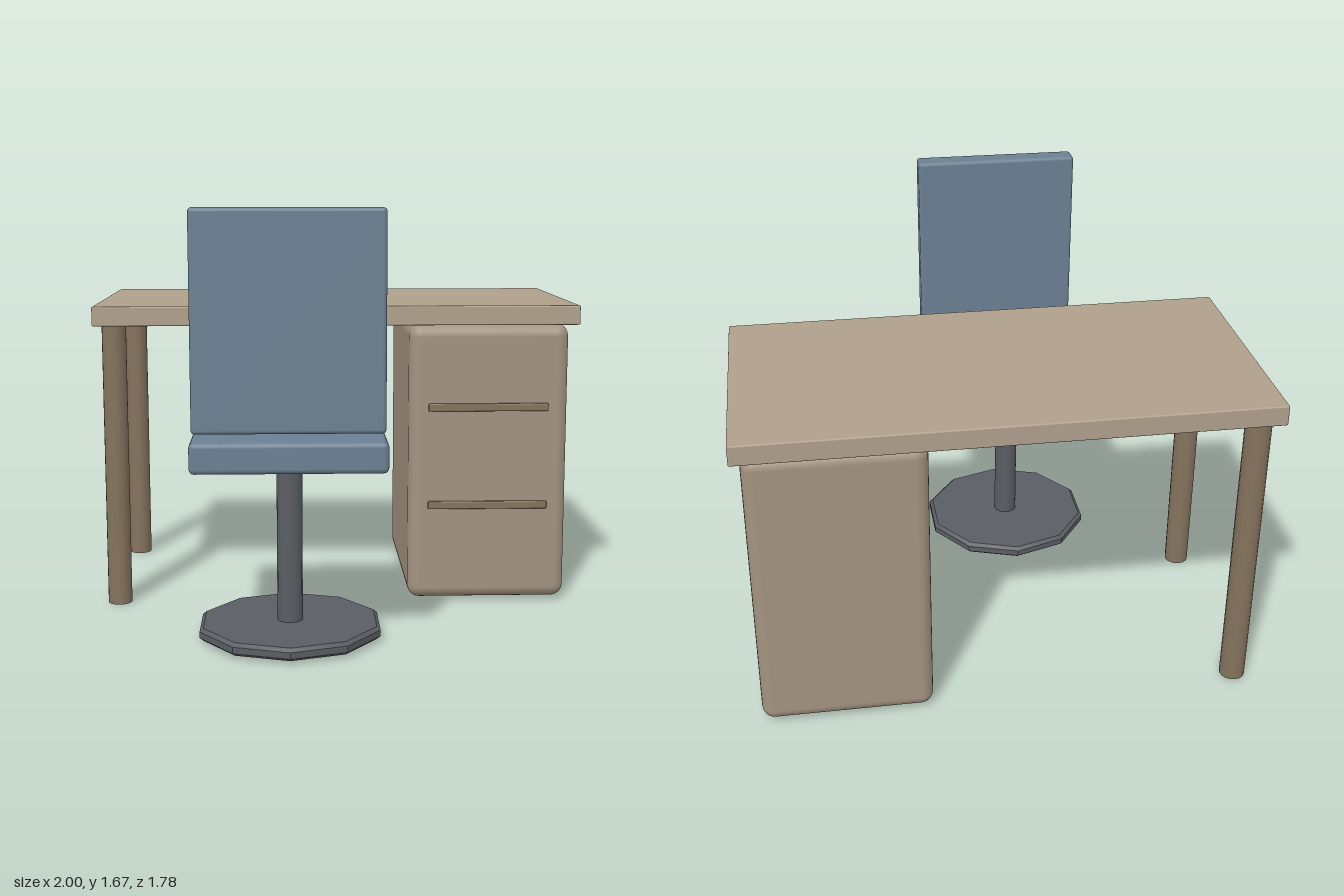
import * as THREE from 'three';
import { RoundedBoxGeometry } from 'three/addons/geometries/RoundedBoxGeometry.js';
import { toCreasedNormals } from 'three/addons/utils/BufferGeometryUtils.js';

const paint = (color) => new THREE.MeshStandardMaterial({ color });

export function createModel() {
  const model = new THREE.Group();
  const desk = new THREE.Group();
  const chair = new THREE.Group();
  desk.name = 'desk';
  chair.name = 'chair';
  model.add(desk, chair);

  const topWood = paint(0xb0a08c);
  const cabinetWood = paint(0xa39380);
  const darkWood = paint(0x85735e);
  const fabric = paint(0x6b8092);
  const metal = paint(0x5a5d63);

  const add = (parent, name, geometry, material, x, y, z) => {
    const mesh = new THREE.Mesh(geometry, material);
    mesh.name = name;
    mesh.position.set(x, y, z);
    parent.add(mesh);
  };
  // Rounded box given by its lower and upper corners
  const slab = (parent, name, material, min, max, radius) => {
    const size = max.map((v, i) => v - min[i]);
    const mid = max.map((v, i) => (v + min[i]) / 2);
    add(parent, name, new RoundedBoxGeometry(...size, 3, radius), material, ...mid);
  };

  // Desk top and drawer cabinet
  slab(desk, 'deskTop', topWood, [-1, 1.18, -0.89], [1, 1.26, 0.105], 0.006);
  slab(desk, 'drawerCabinet', cabinetWood, [0.3, 0.012, -0.855], [0.965, 1.178, 0.075], 0.05);

  // Drawer handles
  for (const y of [0.42, 0.835]) {
    slab(desk, 'drawerHandle', darkWood, [0.38, y - 0.016, 0.06], [0.88, y + 0.016, 0.09], 0.005);
  }

  // Two legs on the open side
  for (const z of [0.025, -0.805]) {
    add(desk, 'deskLeg', new THREE.CylinderGeometry(0.05, 0.05, 1.18, 16), darkWood, -0.92, 0.59, z);
  }

  // Chair seat and backrest
  slab(chair, 'seat', fabric, [-0.565, 0.71, 0.125], [0.163, 0.827, 0.825], 0.02);
  slab(chair, 'backrest', fabric, [-0.55, 0.87, 0.795], [0.147, 1.67, 0.89], 0.015);

  // Post and ten-sided foot with bevelled rims
  add(chair, 'post', new THREE.CylinderGeometry(0.05, 0.05, 0.67, 16), metal, -0.2, 0.385, 0.478);
  const profile = [[0, 0.01], [0.352, 0.01], [0.367, 0.022], [0.367, 0.047], [0.352, 0.06], [0, 0.06]];
  const foot = new THREE.LatheGeometry(profile.map(([r, y]) => new THREE.Vector2(r, y)), 10);
  add(chair, 'foot', toCreasedNormals(foot, 0.5), metal, -0.2, 0, 0.478);

  return model;
}
